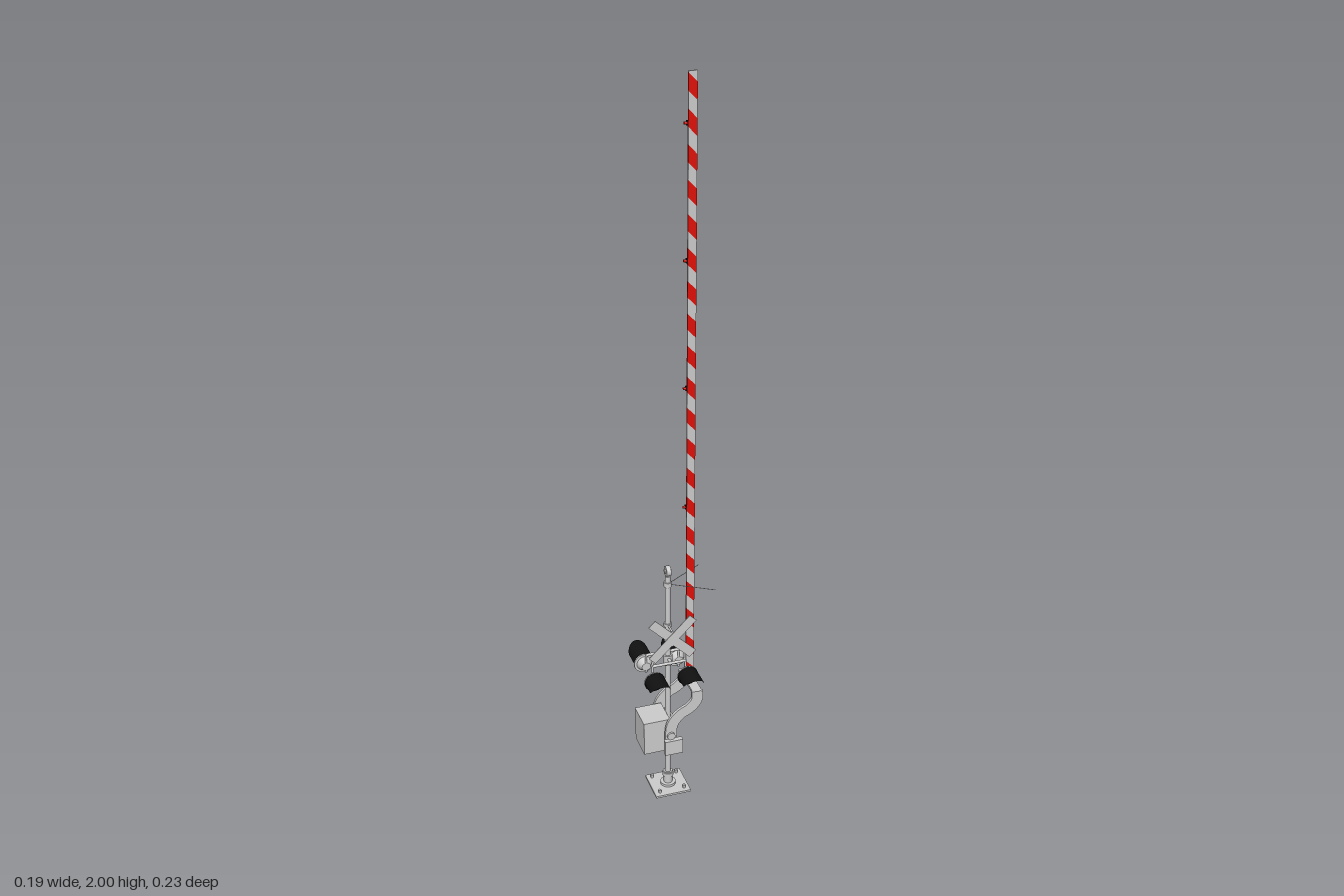
import * as THREE from 'three';

const GREY = new THREE.MeshStandardMaterial({ color: 0xcccccc, side: THREE.DoubleSide });
const RED = new THREE.MeshStandardMaterial({ color: 0xe01008, side: THREE.DoubleSide });
const BLACK = new THREE.MeshStandardMaterial({ color: 0x111111, side: THREE.DoubleSide });

const MX = -0.01, MZ = -0.003; // mast axis

function add(parent, name, geo, mat, x = 0, y = 0, z = 0) {
  const m = new THREE.Mesh(geo, mat);
  m.name = name;
  m.position.set(x, y, z);
  parent.add(m);
  return m;
}
const box = (w, h, d) => new THREE.BoxGeometry(w, h, d);
const cyl = (r, h, n = 20, r2 = r) => new THREE.CylinderGeometry(r, r2, h, n);

// straight round bar between two points
function rod(parent, name, a, b, r, mat = GREY) {
  const p = new THREE.Vector3(...a), q = new THREE.Vector3(...b);
  const m = add(parent, name, cyl(r, p.distanceTo(q), 10), mat);
  m.position.copy(p).add(q).multiplyScalar(0.5);
  m.quaternion.setFromUnitVectors(new THREE.Vector3(0, 1, 0), q.sub(p).normalize());
  return m;
}

// flat bar that follows a curve in the xy plane
function ribbon(points, width, depth) {
  const curve = new THREE.CatmullRomCurve3(points.map(([x, y]) => new THREE.Vector3(x, y, 0)));
  const left = [], right = [];
  for (let i = 0; i <= 28; i++) {
    const p = curve.getPoint(i / 28), t = curve.getTangent(i / 28);
    left.push(new THREE.Vector2(p.x - t.y * width / 2, p.y + t.x * width / 2));
    right.unshift(new THREE.Vector2(p.x + t.y * width / 2, p.y - t.x * width / 2));
  }
  const g = new THREE.ExtrudeGeometry(new THREE.Shape([...left, ...right]), { depth, bevelEnabled: false });
  return g.translate(0, 0, -depth / 2);
}

// half-round visor along +z, its lower front corner cut away
function visorGeometry(r, length) {
  const g = new THREE.CylinderGeometry(r, r, 1, 24, 6, true, -Math.PI / 2 - 0.1, Math.PI + 0.2);
  g.rotateX(Math.PI / 2);
  const p = g.attributes.position;
  for (let i = 0; i < p.count; i++) {
    const y = -p.getY(i);
    const x = p.getX(i), t = p.getZ(i) + 0.5;
    const top = Math.abs(y);
    const reach = length * (0.68 + 0.32 * Math.min(1, Math.max(0, top / r)));
    p.setXYZ(i, x, top, t * reach);
  }
  g.computeVertexNormals();
  return g;
}

// one lamp facing +z
function makeLamp() {
  const lamp = new THREE.Group();
  lamp.name = 'signalLamp';
  const turned = (r, h, r2) => cyl(r, h, 28, r2).rotateX(Math.PI / 2);
  add(lamp, 'lampHousing', turned(0.021, 0.018, 0.012), GREY, 0, 0, -0.011);
  add(lamp, 'backingDisc', turned(0.028, 0.003), GREY);
  add(lamp, 'rim', new THREE.TorusGeometry(0.0262, 0.0022, 8, 32), BLACK, 0, 0, 0.003);
  add(lamp, 'lens', turned(0.0245, 0.004), RED, 0, 0, 0.003);
  add(lamp, 'visor', visorGeometry(0.0275, 0.071), BLACK, 0, 0, 0.001);
  return lamp;
}

function makeMast(root) {
  const g = new THREE.Group();
  g.name = 'mast';
  root.add(g);
  add(g, 'basePlate', box(0.1, 0.006, 0.1), GREY, MX, 0.003, MZ);
  add(g, 'baseFoot', cyl(0.012, 0.045), GREY, MX, 0.026, MZ);
  add(g, 'baseCollar', cyl(0.015, 0.012), GREY, MX, 0.04, MZ);
  add(g, 'baseFlange', cyl(0.021, 0.008), GREY, MX, 0.009, MZ);
  for (const sx of [-1, 1]) for (const sz of [-1, 1])
    add(g, 'anchorBolt', cyl(0.004, 0.012, 6), GREY, MX + sx * 0.035, 0.01, MZ + sz * 0.035);
  add(g, 'pole', cyl(0.0075, 0.67), GREY, MX, 0.345, MZ);
  // bell on top
  add(g, 'bell', cyl(0.014, 0.012, 28).rotateZ(Math.PI / 2), GREY, MX, 0.695, MZ);
  add(g, 'bellHub', cyl(0.006, 0.018, 16).rotateZ(Math.PI / 2), GREY, MX, 0.695, MZ);
  // slim horizontal rods under the bell
  add(g, 'rodCollar', cyl(0.0105, 0.014), GREY, MX, 0.655, MZ);
  for (const s of [-1, 1])
    rod(g, 'sideRod', [MX, 0.655, MZ], [0.098, 0.655, MZ + s * 0.066], 0.0009);
}

function makeCrossSign(root) {
  const g = new THREE.Group();
  g.name = 'crossSign';
  root.add(g);
  for (const s of [-1, 1])
    add(g, 'signBoard', box(0.16, 0.026, 0.002), GREY, MX, 0.508, 0.037 + s * 0.0011).rotation.z = s * Math.PI / 4;
  for (const y of [0.487, 0.53]) {
    rod(g, 'signStrut', [MX, y, MZ], [MX, y, 0.036], 0.0028);
    add(g, 'signClamp', cyl(0.0105, 0.01), GREY, MX, y, MZ);
  }
}

function makeLamps(root) {
  const g = new THREE.Group();
  g.name = 'signalLamps';
  root.add(g);
  add(g, 'lampCollar', cyl(0.012, 0.03), GREY, MX, 0.42, MZ);
  for (const s of [-1, 1]) {
    const z = MZ + s * 0.028;
    rod(g, 'lampBracket', [MX, 0.425, MZ], [MX, 0.425, z], 0.0045);
    rod(g, 'lampCrossbar', [-0.062, 0.425, z], [0.03, 0.425, z], 0.004);
    for (const x of [-0.062, 0.03]) {
      rod(g, 'lampHanger', [x, 0.427, z], [x, 0.37, z], 0.003);
      const lamp = makeLamp();
      lamp.position.set(x, 0.389, MZ + s * 0.045);
      if (s < 0) lamp.rotation.y = Math.PI;
      g.add(lamp);
    }
  }
}

function makeGate(root) {
  const g = new THREE.Group();
  g.name = 'gateMechanism';
  root.add(g);
  // drive cabinet beside the mast
  add(g, 'cabinet', box(0.072, 0.1, 0.078), GREY, -0.054, 0.2, MZ);
  add(g, 'cabinetLid', box(0.074, 0.004, 0.08), GREY, -0.054, 0.249, MZ);
  for (const y of [0.175, 0.225]) add(g, 'cabinetClamp', box(0.03, 0.014, 0.034), GREY, MX, y, MZ);
  rod(g, 'driveShaft', [-0.02, 0.21, MZ - 0.056], [-0.02, 0.21, MZ + 0.056], 0.008);
  // curved arms with counterweights, one on each side
  const path = [[-0.02, 0.16], [-0.02, 0.2], [-0.015, 0.245], [0.006, 0.272], [0.036, 0.289], [0.053, 0.31], [0.055, 0.338]];
  for (const s of [-1, 1]) {
    add(g, 'curvedArm', ribbon(path, 0.032, 0.008), GREY, 0, 0, MZ + s * 0.053);
    add(g, 'counterweight', box(0.05, 0.044, 0.014), GREY, -0.015, 0.178, MZ + s * 0.063);
    add(g, 'shaftCap', cyl(0.011, 0.006).rotateX(Math.PI / 2), GREY, -0.02, 0.21, MZ + s * 0.059);
  }
  add(g, 'armCrossbar', box(0.026, 0.008, 0.112), GREY, 0.055, 0.334, MZ);
  add(g, 'boomSocket', box(0.026, 0.035, 0.012), GREY, 0.054, 0.349, MZ);
}

function makeBoom(root) {
  const g = new THREE.Group();
  g.name = 'boom';
  root.add(g);
  const x0 = 0.042, x1 = 0.064, bottom = 0.335, top = 2, step = 0.042, slant = 0.024;
  const fit = y => Math.min(top, Math.max(bottom, y));
  // slanted stripes in turn, clipped at both ends
  for (let i = 0; bottom + (i - 1) * step < top; i++) {
    const y = bottom + (i - 1) * step;
    const a = fit(y + slant), b = fit(y), c = fit(y + step), d = fit(y + step + slant);
    if (d - a + c - b < 0.002) continue;
    const shape = new THREE.Shape([[x0, a], [x1, b], [x1, c], [x0, d]].map(p => new THREE.Vector2(...p)));
    const geo = new THREE.ExtrudeGeometry(shape, { depth: 0.005, bevelEnabled: false });
    add(g, i % 2 ? 'redStripe' : 'paleStripe', geo, i % 2 ? RED : GREY, 0, 0, MZ - 0.006);
  }
  // small lamps along the edge
  for (const y of [0.875, 1.21, 1.545, 1.88]) {
    add(g, 'boomLampBase', box(0.004, 0.012, 0.005), BLACK, 0.04, y, MZ - 0.0035);
    add(g, 'boomLamp', cyl(0.0035, 0.007, 14).rotateZ(Math.PI / 2), RED, 0.0355, y, MZ - 0.0035);
  }
}

export function createModel() {
  const root = new THREE.Group();
  root.name = 'crossingGate';
  makeMast(root);
  makeCrossSign(root);
  makeLamps(root);
  makeGate(root);
  makeBoom(root);
  return root;
}
